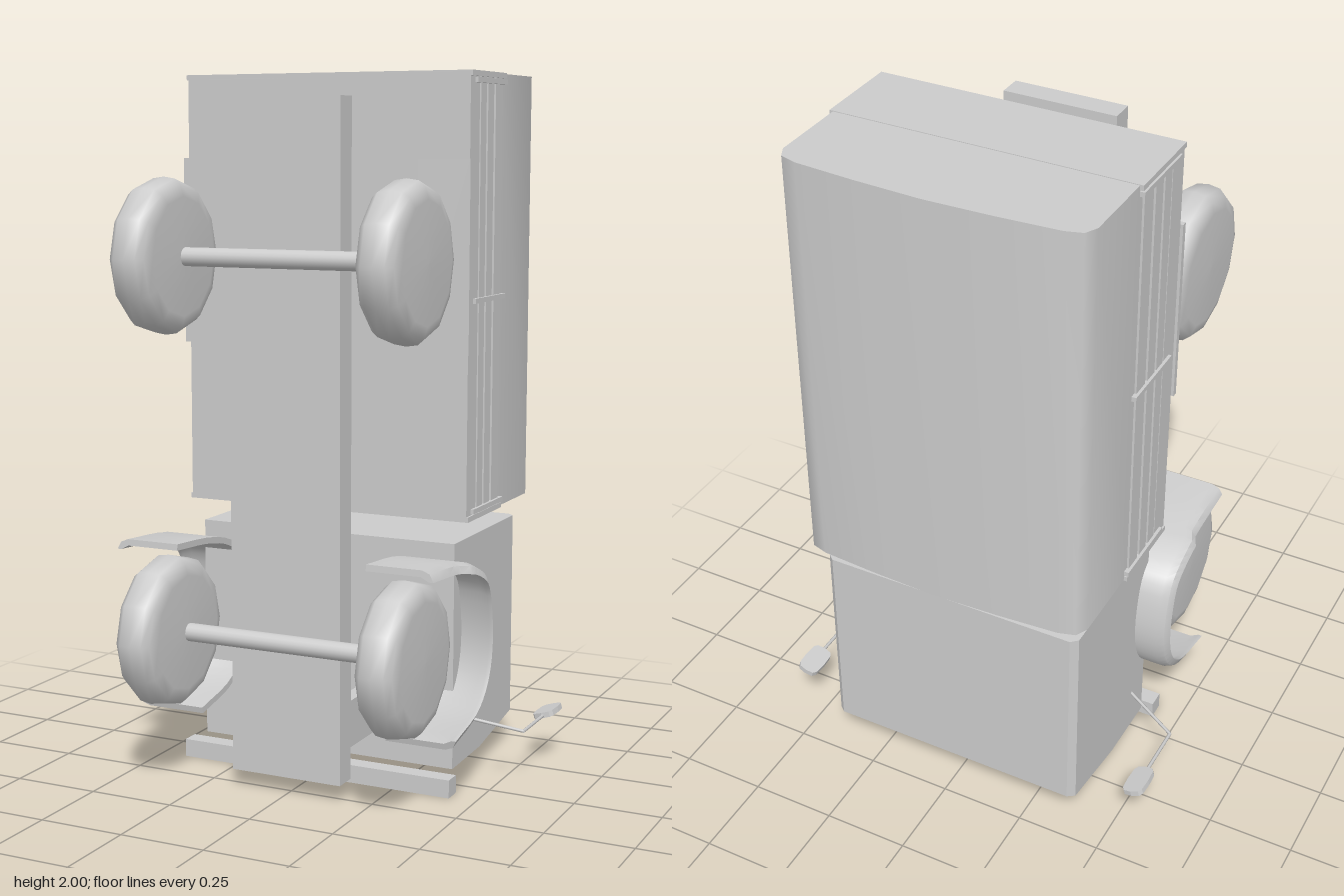
import * as THREE from 'three';
import { toCreasedNormals } from 'three/addons/utils/BufferGeometryUtils.js';
import { ConvexGeometry } from 'three/addons/geometries/ConvexGeometry.js';

// A lorry balanced on its nose: bumper down at y = 0, underside towards +z.
export function createModel() {
  const root = new THREE.Group();
  const grey = new THREE.MeshStandardMaterial({ color: 0xcccccc, side: THREE.DoubleSide });

  const add = (name, geometry) => {
    const mesh = new THREE.Mesh(geometry, grey);
    mesh.name = name;
    root.add(mesh);
    return mesh;
  };
  // Box given by its limits on each axis
  const box = (name, x0, x1, y0, y1, z0, z1) => {
    const g = new THREE.BoxGeometry(Math.abs(x1 - x0), y1 - y0, z1 - z0);
    g.translate((x0 + x1) / 2, (y0 + y1) / 2, (z0 + z1) / 2);
    return add(name, g);
  };
  // Round bar between two points
  const rod = (name, a, b, r, sides = 6) => {
    const from = new THREE.Vector3(...a), to = new THREE.Vector3(...b);
    const dir = to.clone().sub(from);
    const mesh = add(name, new THREE.CylinderGeometry(r, r, dir.length(), sides));
    mesh.position.copy(from).add(to).multiplyScalar(0.5);
    mesh.quaternion.setFromUnitVectors(new THREE.Vector3(0, 1, 0), dir.normalize());
    return mesh;
  };

  // Chassis, cab supports and bumper
  box('chassis', -0.168, 0.168, 0.05, 1.93, 0.215, 0.285);
  for (const s of [-1, 1]) box('cabSupport', s * 0.11, s * 0.153, 0.13, 0.265, 0.03, 0.215);
  box('bumper', -0.423, 0.423, 0, 0.052, 0.063, 0.115);

  // Cab: box with a raked windscreen and narrow chamfers along the roof
  const cabPoints = [];
  for (const s of [-1, 1]) {
    const corners = [
      [0.398, 0.055, 0.03], [0.398, 0.705, 0.03], [0.398, 0.06, -0.18],
      [0.398, 0.102, -0.432], [0.398, 0.705, -0.432],
      [0.378, 0.106, -0.45], [0.378, 0.705, -0.45],
    ];
    for (const [x, y, z] of corners) cabPoints.push(new THREE.Vector3(s * x, y, z));
  }
  add('cab', new ConvexGeometry(cabPoints));

  // Load bed: floor, end boards, slatted sides with gaps, posts
  box('bedFloor', -0.435, 0.435, 0.775, 1.995, -0.03, 0.037);
  box('headboard', -0.44, 0.44, 0.77, 0.785, -0.22, 0.037);
  box('tailgate', -0.44, 0.44, 1.985, 2, -0.22, 0.037);
  for (const s of [-1, 1]) {
    for (const [z0, z1] of [[-0.078, -0.037], [-0.134, -0.09], [-0.202, -0.148]]) {
      box('sideSlat', s * 0.42, s * 0.436, 0.775, 1.995, z0, z1);
    }
    for (const y of [0.795, 1.38, 1.975]) {
      box('sidePost', s * 0.43, s * 0.444, y - 0.007, y + 0.007, -0.22, 0.005);
    }
    box('rearWheelGuard', s * 0.29, s * 0.443, 1.235, 1.765, 0.037, 0.053);
  }

  // Canopy with a shallow ridge and rounded shoulders
  const half = [[0.43, 0.2], [0.43, 0.45], [0.412, 0.485], [0.365, 0.499], [0.19, 0.511]];
  const outline = [
    ...half, [0, 0.518], ...half.slice().reverse().map(([x, h]) => [-x, h]),
  ].map(([x, h]) => new THREE.Vector2(x, h));
  const canopy = new THREE.ExtrudeGeometry(new THREE.Shape(outline), { depth: 1.226, bevelEnabled: false });
  canopy.rotateX(-Math.PI / 2).translate(0, 0.772, 0);
  add('canopy', toCreasedNormals(canopy, 0.9));

  // Axles and rounded twelve-sided wheels
  const side = [[0, 0.065], [0.165, 0.062], [0.197, 0.053], [0.213, 0.034]];
  const tyre = [
    ...side.map(([r, h]) => [r, -h]), ...side.slice().reverse(),
  ].map(([r, h]) => new THREE.Vector2(r, h));
  tyre.splice(4, 0, new THREE.Vector2(0.218, 0));
  for (const [label, y] of [['front', 0.437], ['rear', 1.498]]) {
    rod(label + 'Axle', [-0.31, y, 0.295], [0.31, y, 0.295], 0.026, 16);
    for (const s of [-1, 1]) {
      const wheel = add(label + 'Wheel', new THREE.LatheGeometry(tyre, 12));
      wheel.rotation.z = Math.PI / 2;
      wheel.position.set(s * 0.364, y, 0.298);
    }
  }

  // Front fenders: a curved band with a rolled outer lip, swept around the wheel
  const path = new THREE.CatmullRomCurve3([
    [0.377, 0.707], [0.19, 0.692], [0.075, 0.664], [-0.005, 0.615], [-0.042, 0.504],
    [-0.042, 0.387], [-0.005, 0.297], [0.075, 0.228], [0.245, 0.186],
  ].map(([z, y]) => new THREE.Vector3(0, y, z)));
  const section = [[0.288, 0], [0.465, 0], [0.487, -0.009], [0.498, -0.03], [0.486, -0.03], [0.462, -0.018], [0.288, -0.018]];
  const fender = (s) => {
    const steps = 28, n = section.length, pos = [], index = [];
    for (let i = 0; i <= steps; i++) {
      const p = path.getPoint(i / steps), t = path.getTangent(i / steps);
      const trim = i < 5 ? 0.016 : 0;
      for (const [x, o] of section) {
        pos.push(s * (x > 0.4 ? x - trim : x), p.y - t.z * o, p.z + t.y * o);
      }
      if (i === steps) continue;
      for (let j = 0; j < n; j++) {
        const a = i * n + j, b = i * n + (j + 1) % n;
        if (s > 0) index.push(a, b, a + n, b, b + n, a + n);
        else index.push(a, a + n, b, b, a + n, b + n);
      }
    }
    // End caps follow the thin section as three quads
    for (const base of [0, steps * n]) {
      for (const [a, b, c, d] of [[0, 1, 5, 6], [1, 2, 4, 5], [2, 3, 4, 4]]) {
        const flip = (base === 0) === (s > 0);
        for (const tri of c === d ? [[a, b, c]] : [[a, b, c], [a, c, d]]) {
          if (flip) tri.reverse();
          index.push(...tri.map((k) => base + k));
        }
      }
    }
    const g = new THREE.BufferGeometry();
    g.setAttribute('position', new THREE.Float32BufferAttribute(pos, 3));
    g.setIndex(index);
    return toCreasedNormals(g, 0.7);
  };

  // Mirrors: bent arm with a rounded plate at its end
  const plate = new THREE.Shape();
  plate.absellipse(0, 0, 0.033, 0.055, 0, Math.PI * 2);
  const rounded = plate.getPoints(6).map((p) => new THREE.Vector2(
    0.033 * Math.sign(p.x) * Math.sqrt(Math.abs(p.x) / 0.033),
    0.055 * Math.sign(p.y) * Math.sqrt(Math.abs(p.y) / 0.055)));
  for (const s of [-1, 1]) {
    add('frontFender', fender(s));
    rod('mirrorArm', [s * 0.395, 0.187, -0.05], [s * 0.556, 0.146, -0.118], 0.005);
    rod('mirrorArm', [s * 0.556, 0.146, -0.118], [s * 0.556, 0.146, -0.335], 0.005);
    const g = new THREE.ExtrudeGeometry(new THREE.Shape(rounded), { depth: 0.016, bevelEnabled: false });
    g.translate(0, 0, -0.008).rotateX(-Math.PI / 2);
    const mirror = add('mirror', g);
    mirror.position.set(s * 0.553, 0.146, -0.335);
    mirror.rotation.z = s * 0.3;
  }

  return root;
}
